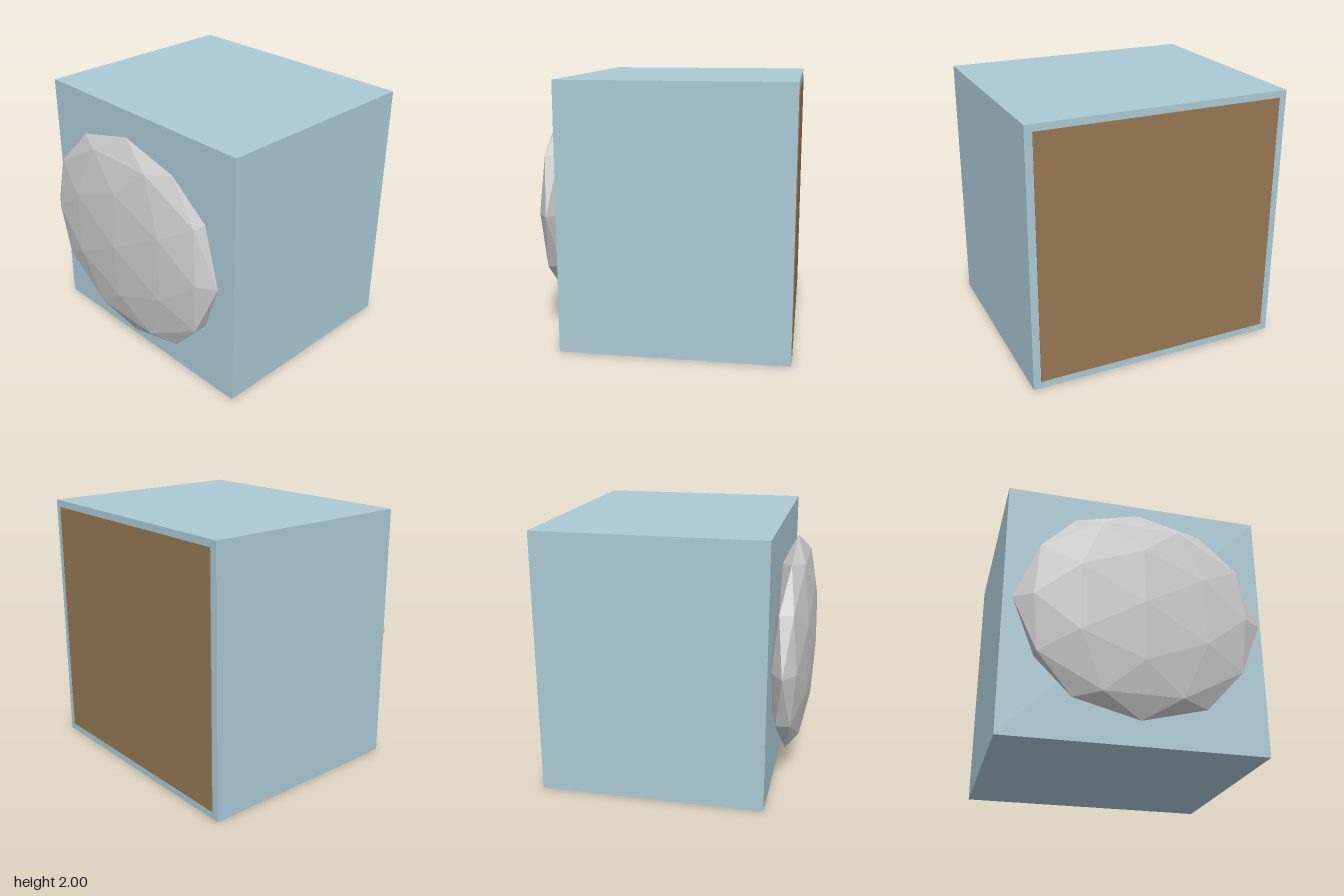
import * as THREE from 'three';

export function createModel() {
  const model = new THREE.Group();

  const add = (name, geometry, color, x, y, z) => {
    const material = new THREE.MeshStandardMaterial({ color, flatShading: true });
    const mesh = new THREE.Mesh(geometry, material);
    mesh.name = name;
    mesh.position.set(x, y, z);
    model.add(mesh);
    return mesh;
  };

  // Main block
  add('body', new THREE.BoxGeometry(2, 2, 1.7), 0xabcad6, 0, 1, -0.13);

  // Faceted, flattened dome set into the front face
  const dome = new THREE.IcosahedronGeometry(1, 1).scale(0.94, 0.848, 0.17);
  add('frontDome', dome, 0xcccccc, 0, 1.003, 0.815);

  // Thin panel on the back face
  add('backPanel', new THREE.BoxGeometry(1.885, 1.89, 0.01), 0x967852, 0, 1.003, -0.981);

  return model;
}
